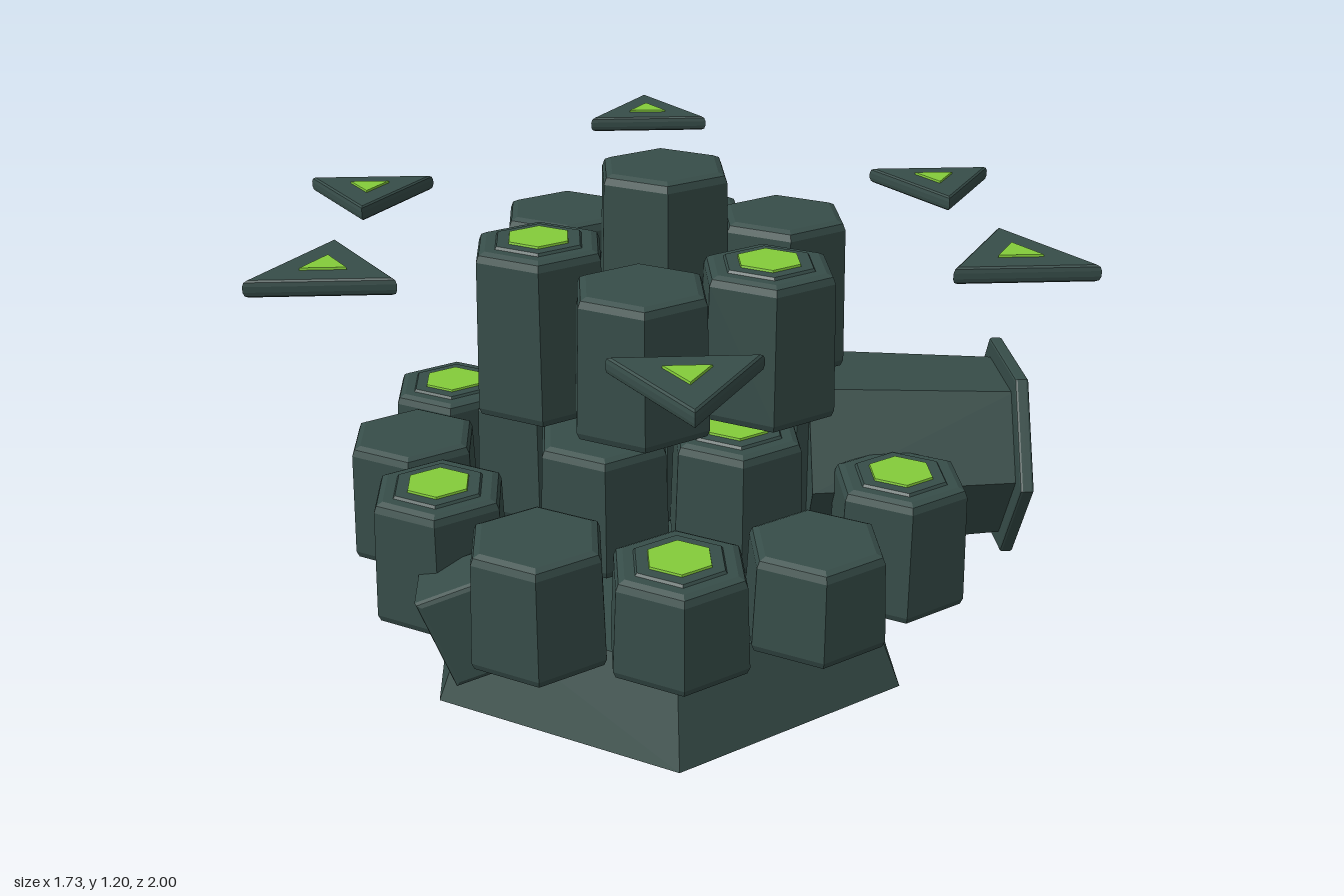
import * as THREE from 'three';

const stone = new THREE.MeshStandardMaterial({ color: 0x374d49 });
stone.name = 'dark green stone';
const lime = new THREE.MeshStandardMaterial({ color: 0x84cc3a });
lime.name = 'lime glow';

// Flat-faced prism turned from a [radius, y] profile, one corner facing +z
function prism(sides, profile) {
  const pts = profile.map(([r, y]) => new THREE.Vector2(r, y));
  const geo = new THREE.LatheGeometry(pts, sides).toNonIndexed();
  geo.computeVertexNormals();
  return geo;
}

function slab(sides, bottomR, topR, y0, y1, bevel = 0) {
  const b = bevel, k = bevel * 0.3;
  const profile = b
    ? [[0, y0], [bottomR - b, y0], [bottomR - k, y0 + k], [bottomR, y0 + b],
      [topR, y1 - b], [topR - k, y1 - k], [topR - b, y1], [0, y1]]
    : [[0, y0], [bottomR, y0], [topR, y1], [0, y1]];
  return prism(sides, profile);
}

function add(parent, name, geo, mat, x = 0, y = 0, z = 0) {
  const m = new THREE.Mesh(geo, mat);
  m.name = name;
  m.position.set(x, y, z);
  parent.add(m);
  return m;
}

// Hexagonal column, optionally with a stepped glowing cap
function column(parent, name, x, z, y0, y1, glowing) {
  const g = new THREE.Group();
  g.name = name;
  g.position.set(x, 0, z);
  parent.add(g);
  add(g, 'columnBody', slab(6, 0.167, 0.158, y0, y1, 0.022), stone);
  if (glowing) {
    add(g, 'capStep', slab(6, 0.112, 0.106, y1 - 0.002, y1 + 0.006), stone);
    add(g, 'capGlow', slab(6, 0.077, 0.075, y1 + 0.003, y1 + 0.011), lime);
  }
}

// Floating triangular shard with glowing inlays above and below
function shard(parent, x, y, z, turn) {
  const g = new THREE.Group();
  g.name = 'floatingShard';
  g.position.set(x, y, z);
  g.rotation.y = turn;
  parent.add(g);
  add(g, 'shardBody', slab(3, 0.176, 0.176, -0.018, 0.018, 0.012), stone);
  add(g, 'shardGlowTop', slab(3, 0.056, 0.054, 0.016, 0.023), lime);
  add(g, 'shardGlowBottom', slab(3, 0.054, 0.056, -0.023, -0.016), lime);
}

export function createModel() {
  const model = new THREE.Group();
  model.name = 'hexagonalTower';

  // Base plinth
  add(model, 'base', slab(6, 0.63, 0.54, 0, 0.21), stone);

  // Outer ring, angle measured from +x towards +z; the barrel replaces the one at 0
  const outer = [null, [0.255, 0.555], [0.285, 0.515], [0.28, 0.515], [0.26, 0.54], [0.255, 0.555],
    [0.255, 0.55], [0.255, 0.55], [0.265, 0.54], [0.27, 0.53], [0.27, 0.53], [0.255, 0.555]];
  outer.forEach((span, i) => {
    if (!span) return;
    const a = i * Math.PI / 6;
    column(model, 'outerColumn', 0.6 * Math.cos(a), 0.6 * Math.sin(a), ...span, i % 2 === 1);
  });

  // Middle ring and its core
  for (let i = 0; i < 6; i++) {
    const a = i * Math.PI / 3;
    column(model, 'middleColumn', 0.3 * Math.cos(a), 0.3 * Math.sin(a), 0.37, 0.66, i % 2 === 1);
  }
  column(model, 'coreColumn', 0, 0, 0.37, 0.7, false);

  // Upper ring, twisted against the middle one
  const upper = [[0.69, 1.03], [0.69, 1.02], [0.665, 1.055], [0.68, 1.04], [0.685, 1.01], [0.69, 1.055]];
  upper.forEach((span, i) => {
    const a = THREE.MathUtils.degToRad(42.5 + i * 60);
    column(model, 'upperColumn', 0.298 * Math.cos(a), 0.298 * Math.sin(a), ...span, i % 2 === 0);
  });
  column(model, 'topColumn', 0, 0, 0.85, 1.2, false);

  // Barrel with end flange, pointing to +x
  const barrel = new THREE.Group();
  barrel.name = 'barrel';
  barrel.position.y = 0.483;
  barrel.rotation.z = -Math.PI / 2;
  model.add(barrel);
  add(barrel, 'barrelTube', slab(6, 0.243, 0.214, 0.33, 0.82), stone);
  add(barrel, 'barrelFlange', slab(6, 0.262, 0.262, 0.81, 0.842, 0.006), stone);

  // Tilted blocks, front and back
  for (const s of [1, -1]) {
    const block = add(model, 'tiltedBlock', new THREE.ExtrudeGeometry(
      new THREE.Shape([[-0.145, -0.1], [0.145, -0.1], [0.145, 0.1], [-0.145, 0.1]]
        .map(([x, y]) => new THREE.Vector2(x, y))),
      { depth: 0.13, bevelSize: 0.012, bevelThickness: 0.012, bevelSegments: 2 }).translate(0, 0, -0.065),
    stone, -0.375, 0.36, s * 0.495);
    block.rotation.z = 0.36;
  }

  // Ring of floating shards at alternating heights
  for (let i = 0; i < 6; i++) {
    const a = i * Math.PI / 3;
    const odd = i % 2;
    shard(model, 0.822 * Math.sin(a), odd ? 1.1 : 1.02, 0.822 * Math.cos(a), odd ? Math.PI : 0);
  }
  return model;
}
